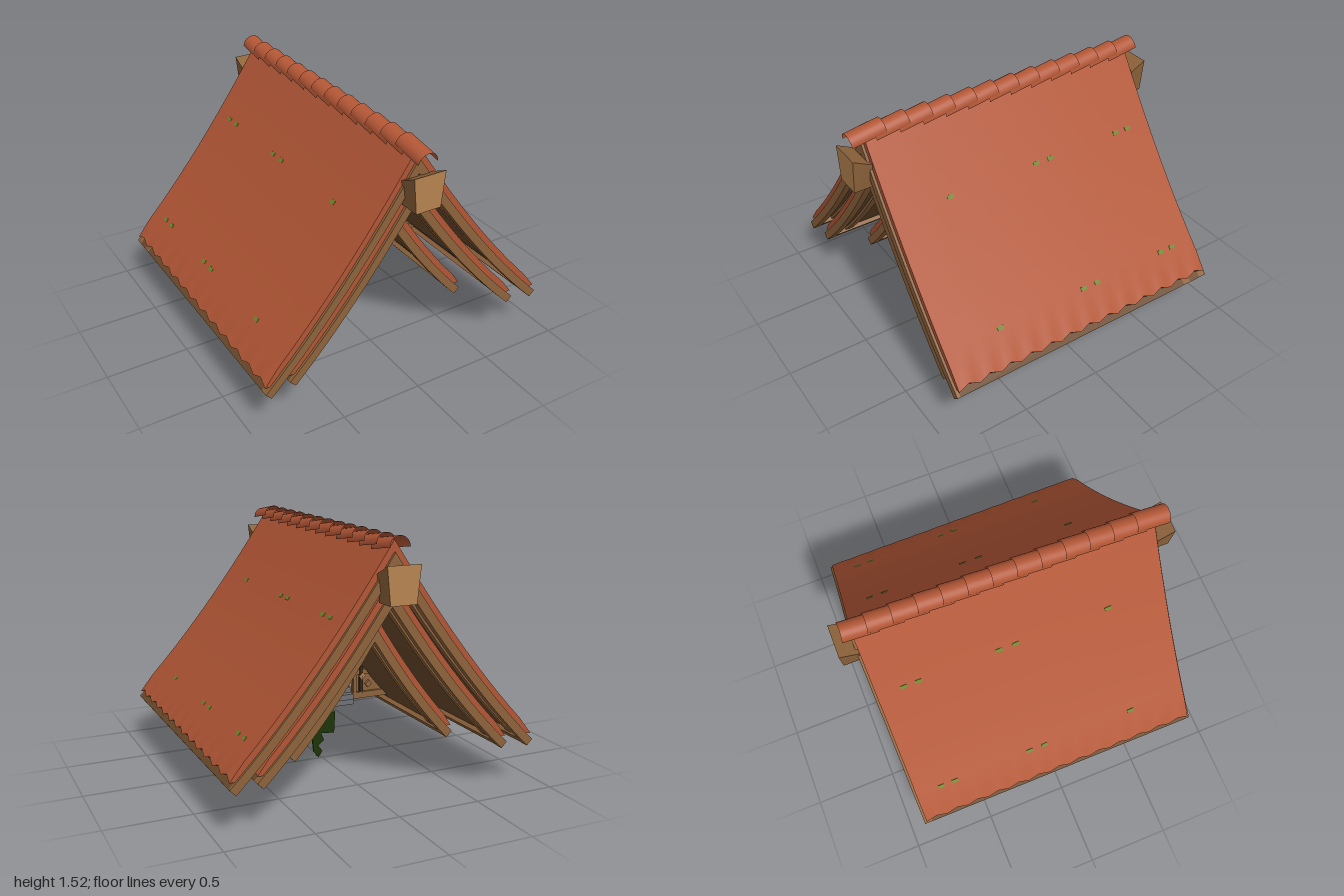
import * as THREE from 'three';
import { toCreasedNormals } from 'three/addons/utils/BufferGeometryUtils.js';

const mat = (name, color, side = THREE.FrontSide) => {
  const m = new THREE.MeshStandardMaterial({ color, side });
  m.name = name;
  return m;
};

export function createModel() {
  const root = new THREE.Group();
  const tile = mat('clay tile', 0xb25635, THREE.DoubleSide);
  const wood = mat('timber', 0x8e633b);
  const deckWood = mat('deck timber', 0x6b4a2b);
  const lightWood = mat('light timber', 0xb5834f);
  const darkWood = mat('dark timber', 0x3a2818);
  const plaster = mat('plaster', 0x968b76);
  const metal = mat('grey stone', 0x707176);
  const ivy = mat('ivy green', 0x1d3408, THREE.DoubleSide);
  const leafGreen = mat('leaf green', 0x3c6412, THREE.DoubleSide);
  const moss = mat('moss', 0x6b8a2a);

  const add = (parent, name, geo, material, x = 0, y = 0, z = 0) => {
    const m = new THREE.Mesh(geo, material);
    m.name = name;
    m.position.set(x, y, z);
    parent.add(m);
    return m;
  };
  const box = (parent, name, w, h, d, material, x, y, z) =>
    add(parent, name, new THREE.BoxGeometry(w, h, d), material, x, y, z);

  // Concave roof slope: height and gradient at t, from ridge (0) to eave (1)
  const height = (r, t) => r.eave + r.rise * (1 - 1.2 * t + 0.2 * t * t);
  const gradient = (r, t) => (r.rise / r.half) * (1.2 - 0.4 * t);

  // Points of the slope sunk by a distance d along its normal, ending at t = end
  function slope(r, d, end = 1) {
    const pts = [new THREE.Vector2(0, height(r, 0) - d * Math.hypot(1, gradient(r, 0)))];
    for (let i = 1; i <= 12; i++) {
      const t = (end * i) / 12, g = gradient(r, t), l = Math.hypot(1, g);
      const x = t * r.half - (d * g) / l;
      if (x > 0.006) pts.push(new THREE.Vector2(x, height(r, t) - d / l));
    }
    return pts;
  }
  const flip = (pts) => pts.slice(1).reverse().map((p) => new THREE.Vector2(-p.x, p.y));

  // Both slopes as one band between two depths, running from z0 to z1
  function band(r, outer, inner, z0, z1, end = 1, steps = 1) {
    const a = slope(r, outer, end), b = slope(r, inner, end);
    const shape = new THREE.Shape([...flip(a), ...a, ...b.slice().reverse(), ...flip(b).reverse()]);
    const g = new THREE.ExtrudeGeometry(shape, { depth: z1 - z0, steps, bevelEnabled: false });
    return g.translate(0, 0, z0);
  }
  const timberBand = (r, inner, z0, z1) =>
    toCreasedNormals(band(r, 0.036, inner, z0, z1, r.woodEnd), 0.5);

  // Tile layer whose upper edge dips in a zigzag at the eave
  function tileLayer(r) {
    const e = r.len - 0.015;
    const g = band(r, 0, 0.036, -e, e, 1, 52);
    const p = g.attributes.position;
    for (let i = 0; i < p.count; i++) {
      if (Math.abs(p.getX(i)) < r.half * 0.99) continue;
      const k = Math.abs((((p.getZ(i) + e) / (e / 6.5)) % 1) - 0.5) * 2;
      p.setX(i, p.getX(i) + Math.sign(p.getX(i)) * (k - 0.5) * 0.01);
      p.setY(i, p.getY(i) - k * 0.026);
    }
    return toCreasedNormals(g, 0.5);
  }

  // Gable panel filling a roof from its underside down to a base line
  function gable(r, base, thick) {
    const pts = slope(r, 0.05).filter((p) => p.y > base);
    const last = pts[pts.length - 1];
    const shape = new THREE.Shape([...flip(pts), ...pts,
      new THREE.Vector2(last.x, base), new THREE.Vector2(-last.x, base)]);
    const g = new THREE.ExtrudeGeometry(shape, { depth: thick, bevelEnabled: false });
    return g.translate(0, 0, -thick / 2);
  }

  // Open half round cap running along z
  const cap = (radius, length) =>
    new THREE.CylinderGeometry(radius, radius, length, 14, 1, true, Math.PI / 2, Math.PI).rotateX(Math.PI / 2);

  const roofs = [
    { name: 'large', half: 0.92, eave: 0.34, rise: 1.155, len: 0.905, woodEnd: 1.037 },
    { name: 'medium', half: 0.76, eave: 0.34, rise: 0.95, len: 0.88, woodEnd: 1.045 },
    { name: 'small', half: 0.51, eave: 0.38, rise: 0.69, len: 0.69, woodEnd: 1.06 },
  ];
  roofs.forEach((r, n) => {
    const g = new THREE.Group();
    g.name = r.name + 'Roof';
    root.add(g);
    add(g, 'roofTiles', tileLayer(r), tile);
    add(g, 'roofDeck', timberBand(r, 0.056, 0.02 - r.len, r.len - 0.02), deckWood);
    if (n > 0) add(g, 'ridgeCap', cap(0.04, r.len * 2 - 0.02), tile, 0, height(r, 0) - 0.025, 0);
    for (const s of [-1, 1]) {
      // Barge boards at the ends and rafters just inside them
      const barge = s * (r.len - 0.025), rafter = s * (r.len - 0.15);
      add(g, 'bargeBoard', timberBand(r, 0.085, barge - 0.025, barge + 0.025), wood);
      add(g, 'rafter', timberBand(r, 0.072, rafter - 0.025, rafter + 0.025), wood);
      // Eave board
      const e = slope(r, 0.06, r.woodEnd).pop();
      const b = box(g, 'eaveBoard', 0.05, 0.043, r.len * 2 - 0.02, wood, s * (e.x - 0.018), e.y + 0.016, 0);
      b.rotation.z = -s * Math.atan(gradient(r, 1));
      // Pegs along the rake of the wall
      for (let i = 2; i < 9; i++) {
        const p = slope(r, 0.1)[i];
        if (!p || p.y < 0.45) continue;
        const peg = box(g, 'peg', 0.03, 0.034, 0.08, i % 3 ? wood : lightWood, s * p.x, p.y, 0);
        peg.rotation.z = -s * 0.85;
      }
    }
    add(g, 'gableWall', gable(r, 0.4, 0.02 + n * 0.012), n < 2 ? plaster : wood);
  });

  // Overlapping half round ridge tiles, each raised toward the back
  const capGeo = cap(0.06, 0.21);
  for (let i = 0; i < 13; i++) {
    const c = add(root, 'ridgeTile', capGeo, tile, 0, 1.447, 0.87 - i * 0.1433);
    c.rotation.x = 0.16;
  }

  // Flared ridge beam ends with pale end grain
  for (const s of [-1, 1]) {
    const g = new THREE.BoxGeometry(0.2, 0.21, 0.12);
    const p = g.attributes.position;
    for (let i = 0; i < p.count; i++) {
      if (p.getY(i) < 0) p.setX(i, p.getX(i) * 0.78);
      else if (p.getZ(i) * s < 0) p.setY(i, 0.045);
    }
    g.computeVertexNormals();
    add(root, 'ridgeBeamEnd', g, [wood, wood, wood, wood, lightWood, lightWood], 0, 1.272, s * 0.94);
  }

  // Timber frame of the gable wall
  const frame = new THREE.Group();
  frame.name = 'timberFrame';
  root.add(frame);
  box(frame, 'tieBeam', 1.52, 0.04, 0.08, wood, 0, 0.395, 0);
  box(frame, 'collarBeam', 1.14, 0.03, 0.07, wood, 0, 0.545, 0);
  box(frame, 'upperBeam', 0.5, 0.03, 0.07, wood, 0, 0.72, 0);
  for (const s of [-1, 1]) {
    for (let i = 0; i < 4; i++)
      box(frame, 'post', 0.022, 0.3 - i * 0.04, 0.08, i % 2 ? darkWood : wood,
        s * (0.12 + i * 0.045), 0.55 - i * 0.02, 0);
    box(frame, 'sideBoard', 0.09, 0.1, 0.1, wood, s * 0.145, 0.55, 0);
    box(frame, 'sidePlaster', 0.06, 0.08, 0.1, plaster, s * 0.15, 0.45, 0);
  }

  // Narrow plaster bay with a pointed foot and a dark slit
  const bay = new THREE.Shape([[-0.08, 0.62], [-0.065, 0.47], [-0.02, 0.44], [0.03, 0.52], [0.075, 0.6],
    [0.08, 0.8], [0.03, 0.9], [-0.03, 0.9], [-0.08, 0.8]].map((p) => new THREE.Vector2(...p)));
  add(root, 'bay', new THREE.ExtrudeGeometry(bay, { depth: 0.2, bevelEnabled: false })
    .translate(0, 0, -0.1), plaster);
  const slit = new THREE.Shape([[-0.018, 0.71], [0.018, 0.71], [0.018, 0.88], [0, 0.91], [-0.018, 0.88]]
    .map((p) => new THREE.Vector2(...p)));
  add(root, 'slit', new THREE.ExtrudeGeometry(slit, { depth: 0.216, bevelEnabled: false })
    .translate(0, 0, -0.108), darkWood);

  // Stepped stone ledge
  for (const [w, h, d, y] of [[0.335, 0.035, 0.2, 0.38], [0.31, 0.035, 0.24, 0.418], [0.3, 0.035, 0.18, 0.456]])
    box(root, 'ledge', w, h, d, metal, -0.003, y, 0);

  // Hanging ivy: a jagged mass with lighter edges and loose leaves
  const leaf = [[-0.02, 0.36], [0.15, 0.36], [0.145, 0.31], [0.1, 0.3], [0.16, 0.25], [0.09, 0.22], [0.12, 0.12],
    [0.07, 0.15], [0.06, 0.05], [0.025, 0.01], [0, 0.05], [0.03, 0.09], [-0.01, 0.12], [0.01, 0.17],
    [-0.08, 0.16], [-0.085, 0.3], [0, 0.3]];
  const ivyGeo = new THREE.ExtrudeGeometry(new THREE.Shape(leaf.map((p) => new THREE.Vector2(...p))),
    { depth: 1, bevelEnabled: false });
  const ip = ivyGeo.attributes.position;
  for (let i = 0; i < ip.count; i++) ip.setZ(i, (ip.getZ(i) - 0.5) * (0.006 + 0.07 * ip.getY(i)));
  ivyGeo.computeVertexNormals();
  add(root, 'ivy', ivyGeo, [ivy, leafGreen]);
  for (let i = 0; i < 6; i++) {
    const l = add(root, 'ivyLeaf', new THREE.CircleGeometry(0.02, 3), leafGreen,
      0.025 + (i % 2) * 0.02, 0.022 + i * 0.045, 0.012);
    l.rotation.set(0.3, 0.3, i * 1.3);
  }

  // Moss patches on both outer slopes
  const big = roofs[0];
  for (const s of [-1, 1])
    for (const t of [0.315, 0.85])
      for (const z of [0.53, -0.05, -0.15, -0.64, -0.73]) {
        const m = box(root, 'moss', 0.022, 0.008, 0.04, moss, s * t * big.half, height(big, t) - 0.002, z);
        m.rotation.z = -s * Math.atan(gradient(big, t));
      }
  return root;
}
